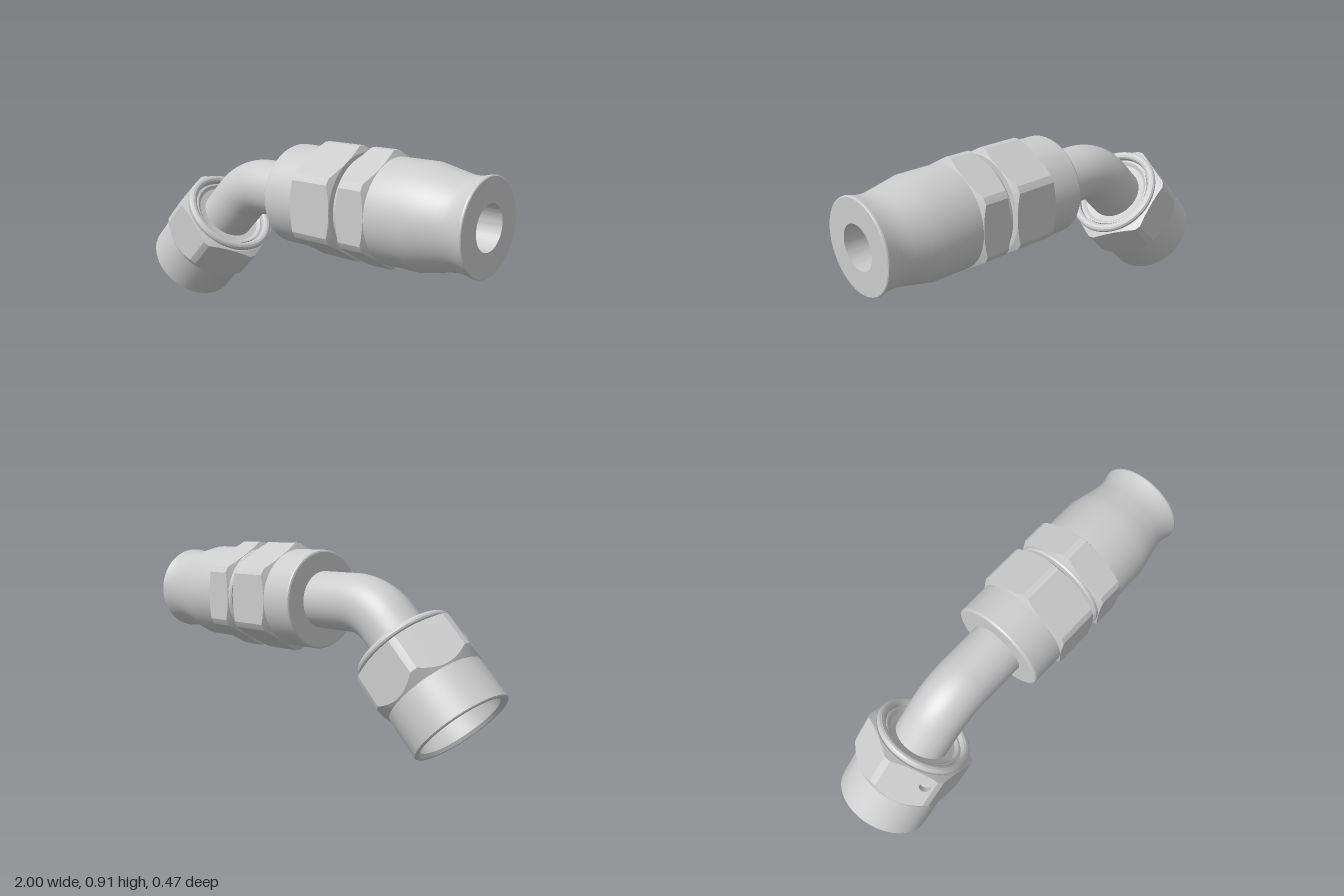
import * as THREE from 'three';
import { toCreasedNormals } from 'three/addons/utils/BufferGeometryUtils.js';

const material = new THREE.MeshStandardMaterial({ color: 0xcccccc, side: THREE.DoubleSide });
const APOTHEM = 0.2365, CORNER = 0.264;
const PHI = Math.acos(APOTHEM / CORNER); // half angle of one flat
const FLAT = 12, ARC = 3;

function add(parent, name, geometry) {
  const mesh = new THREE.Mesh(geometry, material);
  mesh.name = name;
  parent.add(mesh);
  return mesh;
}

// Turned part: pairs of [radius, position along the axis]
function turned(points) {
  const lathe = new THREE.LatheGeometry(points.map(([r, y]) => new THREE.Vector2(r, y)), 72);
  return toCreasedNormals(lathe, 0.25);
}

// Hexagon with rounded corners and conical chamfers; one flat can be left open
function hexagon({ y0, y1, rc, low = 0.5, high = 0.5, openFlat = -1 }) {
  const angles = [];
  for (let k = 0; k < 6; k++) {
    const mid = Math.PI / 6 + k * Math.PI / 3;
    for (let i = 0; i < FLAT; i++) angles.push([mid, -PHI + 2 * PHI * i / FLAT]);
    for (let i = 0; i < ARC; i++) angles.push([mid, PHI + (Math.PI / 3 - 2 * PHI) * i / ARC]);
  }
  const positions = [], index = [], n = angles.length, per = FLAT + ARC;
  for (const [mid, d] of angles) {
    const r = d > PHI ? CORNER : APOTHEM / Math.cos(d);
    const section = [
      [0.195, y0], [rc, y0], [r, y0 + (r - rc) * low],
      [r, y1 - (r - rc) * high], [rc, y1], [0.195, y1],
    ];
    for (const [q, y] of section) positions.push(q * Math.cos(mid + d), y, q * Math.sin(mid + d));
  }
  for (let i = 0; i < n; i++) {
    for (let j = 0; j < 5; j++) {
      if (j === 2 && Math.floor(i / per) === openFlat && i % per < FLAT) continue;
      const a = i * 6 + j, b = ((i + 1) % n) * 6 + j;
      index.push(a, a + 1, b + 1, a, b + 1, b);
    }
  }
  const g = new THREE.BufferGeometry();
  g.setAttribute('position', new THREE.Float32BufferAttribute(positions, 3));
  g.setIndex(index);
  return toCreasedNormals(g, 0.25);
}

// The flat of a hexagon that carries a small drilled hole
function drilledFlat({ y0, y1, rc, low, high, openFlat }, u, y, radius, depth) {
  const group = new THREE.Group();
  group.name = 'drilledFlat';
  const lower = [], upper = [];
  for (let i = 0; i <= FLAT; i++) {
    const d = -PHI + 2 * PHI * i / FLAT, r = APOTHEM / Math.cos(d), x = APOTHEM * Math.tan(d);
    lower.push(new THREE.Vector2(x, y0 + (r - rc) * low));
    upper.unshift(new THREE.Vector2(x, y1 - (r - rc) * high));
  }
  const shape = new THREE.Shape([...lower, ...upper]);
  shape.holes.push(new THREE.Path().absarc(u, y, radius, 0, Math.PI * 2, true));
  add(group, 'flatFace', new THREE.ShapeGeometry(shape, 16));
  const wall = new THREE.CylinderGeometry(radius, radius, depth, 32, 1, true);
  wall.rotateX(Math.PI / 2);
  add(group, 'holeWall', wall).position.set(u, y, -depth / 2);
  add(group, 'holeFloor', new THREE.CircleGeometry(radius, 32)).position.set(u, y, -depth);
  const a = Math.PI / 6 + openFlat * Math.PI / 3;
  group.rotation.y = Math.PI / 2 - a;
  group.position.set(APOTHEM * Math.cos(a), 0, APOTHEM * Math.sin(a));
  return group;
}

export function createModel() {
  const model = new THREE.Group();
  model.name = 'angledHoseFitting';

  // Straight hose socket along x
  const socket = new THREE.Group();
  socket.name = 'hoseSocket';
  socket.rotation.z = -Math.PI / 2;
  socket.position.y = 0.65;
  model.add(socket);
  add(socket, 'socketBody', turned([
    [0.12, -0.03], [0.225, -0.03], [0.232, -0.027], [0.235, -0.02], [0.235, 0.15],
    [0.2, 0.16], [0.2, 0.34], [0.19, 0.35], [0.19, 0.382], [0.228, 0.382], [0.234, 0.39],
    [0.234, 0.415], [0.2, 0.42], [0.2, 0.53], [0.235, 0.535], [0.235, 0.73],
    [0.22, 0.80], [0.204, 0.875], [0.2, 0.905], [0.2, 0.93], [0.203, 0.955], [0.209, 0.98],
    [0.212, 0.99], [0.211, 0.997], [0.207, 1], [0.1, 1], [0.1, 0.5], [0, 0.44],
  ]));
  add(socket, 'wrenchHexagon', hexagon({ y0: 0.136, y1: 0.364, rc: 0.235 }));
  add(socket, 'socketHexagon', hexagon({ y0: 0.402, y1: 0.55, rc: 0.235 }));

  // Bent tube: straight, 45 degree arc, straight
  const s = Math.SQRT1_2, bend = 0.29, t = bend * Math.tan(Math.PI / 8);
  const k = bend * 4 / 3 * Math.tan(Math.PI / 16);
  const knee = new THREE.Vector3(-0.355, 0.65, 0);
  const along = (d) => knee.clone().add(new THREE.Vector3(d, 0, 0));
  const down = (d) => knee.clone().add(new THREE.Vector3(-d * s, -d * s, 0));
  const path = new THREE.CurvePath();
  path.add(new THREE.LineCurve3(along(0.36), along(t)));
  path.add(new THREE.CubicBezierCurve3(along(t), along(t - k), down(t - k), down(t)));
  path.add(new THREE.LineCurve3(down(t), down(0.36)));
  add(model, 'bentTube', new THREE.TubeGeometry(path, 64, 0.135, 48));

  // Swivel nut on the sloping end
  const nut = new THREE.Group();
  nut.name = 'swivelNut';
  nut.rotation.z = -Math.PI / 4;
  nut.position.set(-0.837, 0.168, 0);
  model.add(nut);
  add(nut, 'nutBody', turned([
    [0, 0.3], [0.1, 0.3], [0.1, 0.12], [0.13, 0.12], [0.2, 0.25], [0.2, 0.015], [0.212, 0],
    [0.227, 0], [0.231, 0.004], [0.231, 0.24], [0.203, 0.255], [0.19, 0.265], [0.19, 0.4],
    [0.222, 0.41], [0.222, 0.424], [0.231, 0.427], [0.235, 0.434], [0.235, 0.443],
    [0.23, 0.452], [0.221, 0.457], [0.21, 0.457], [0.2, 0.452], [0.195, 0.444],
    [0.195, 0.425], [0.187, 0.425], [0.187, 0.435], [0.18, 0.435], [0.165, 0.422], [0.13, 0.418],
  ]));
  const hex = { y0: 0.2, y1: 0.42, rc: 0.2315, low: 1.4, high: 0.4, openFlat: 2 };
  add(nut, 'nutHexagon', hexagon(hex));
  nut.add(drilledFlat(hex, 0.08, 0.352, 0.027, 0.03));

  return model;
}
